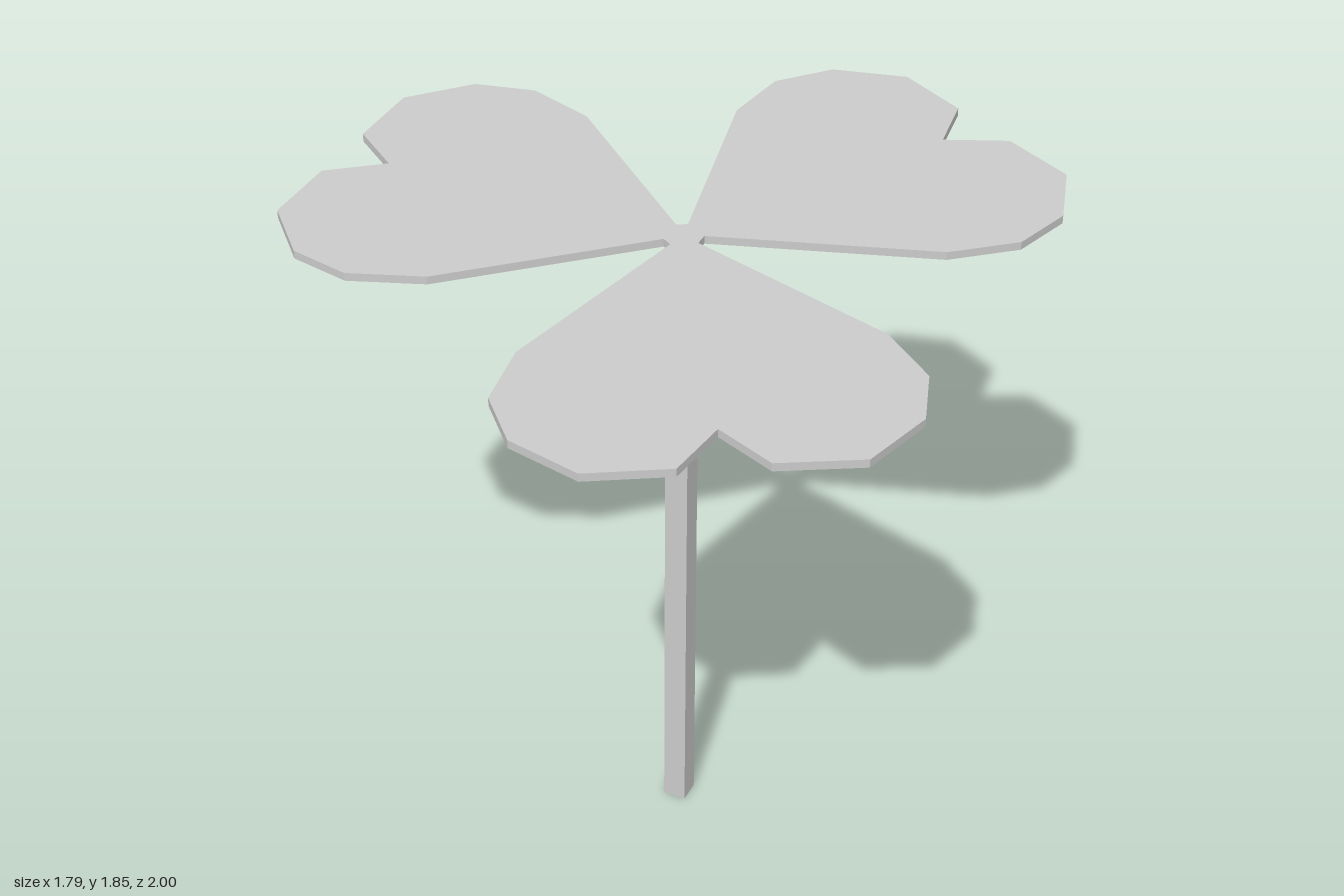
import * as THREE from 'three';

const STEM_X = 0.07;
const STEM_WIDTH = 0.064;
const LEAF_BOTTOM = 1.83;
const LEAF_THICKNESS = 0.022;

// Half of the clover outline as [x, distance from the x axis]
const HALF_OUTLINE = [
  // half of the leaf lying along the axis
  [-0.76, 0], [-0.897, 0.105], [-0.897, 0.322], [-0.76, 0.47],
  [-0.597, 0.506], [-0.408, 0.436], [0.035, 0.037],
  // whole side leaf
  [0.06, 0.053], [-0.064, 0.635], [-0.035, 0.827], [0.08, 0.954],
  [0.278, 1], [0.464, 0.893], [0.485, 0.718], [0.645, 0.786],
  [0.834, 0.682], [0.89, 0.485], [0.837, 0.322], [0.688, 0.2], [0.12, 0.018],
];

function material(options = {}) {
  return new THREE.MeshStandardMaterial({ color: 0xcccccc, flatShading: true, ...options });
}

// Three heart-shaped leaves joined in one flat plate
function createLeaves() {
  const mirrored = HALF_OUTLINE.slice(1).reverse().map(([x, d]) => [x, -d]);
  const points = [...HALF_OUTLINE, ...mirrored].map(([x, d]) => new THREE.Vector2(x, d));
  const geometry = new THREE.ExtrudeGeometry(new THREE.Shape(points), {
    depth: LEAF_THICKNESS,
    bevelEnabled: false,
  });
  geometry.rotateX(-Math.PI / 2);
  const leaves = new THREE.Mesh(geometry, material());
  leaves.name = 'leaves';
  leaves.position.y = LEAF_BOTTOM;
  return leaves;
}

// Square hollow stem, open at the foot
function createStem() {
  const geometry = new THREE.CylinderGeometry(
    STEM_WIDTH / Math.SQRT2, STEM_WIDTH / Math.SQRT2, LEAF_BOTTOM, 4, 1, true);
  geometry.rotateY(Math.PI / 4);
  const stem = new THREE.Mesh(geometry, material({ side: THREE.DoubleSide }));
  stem.name = 'stem';
  stem.position.set(STEM_X, LEAF_BOTTOM / 2, 0);
  return stem;
}

export function createModel() {
  const clover = new THREE.Group();
  clover.name = 'clover';
  clover.add(createLeaves(), createStem());
  return clover;
}
